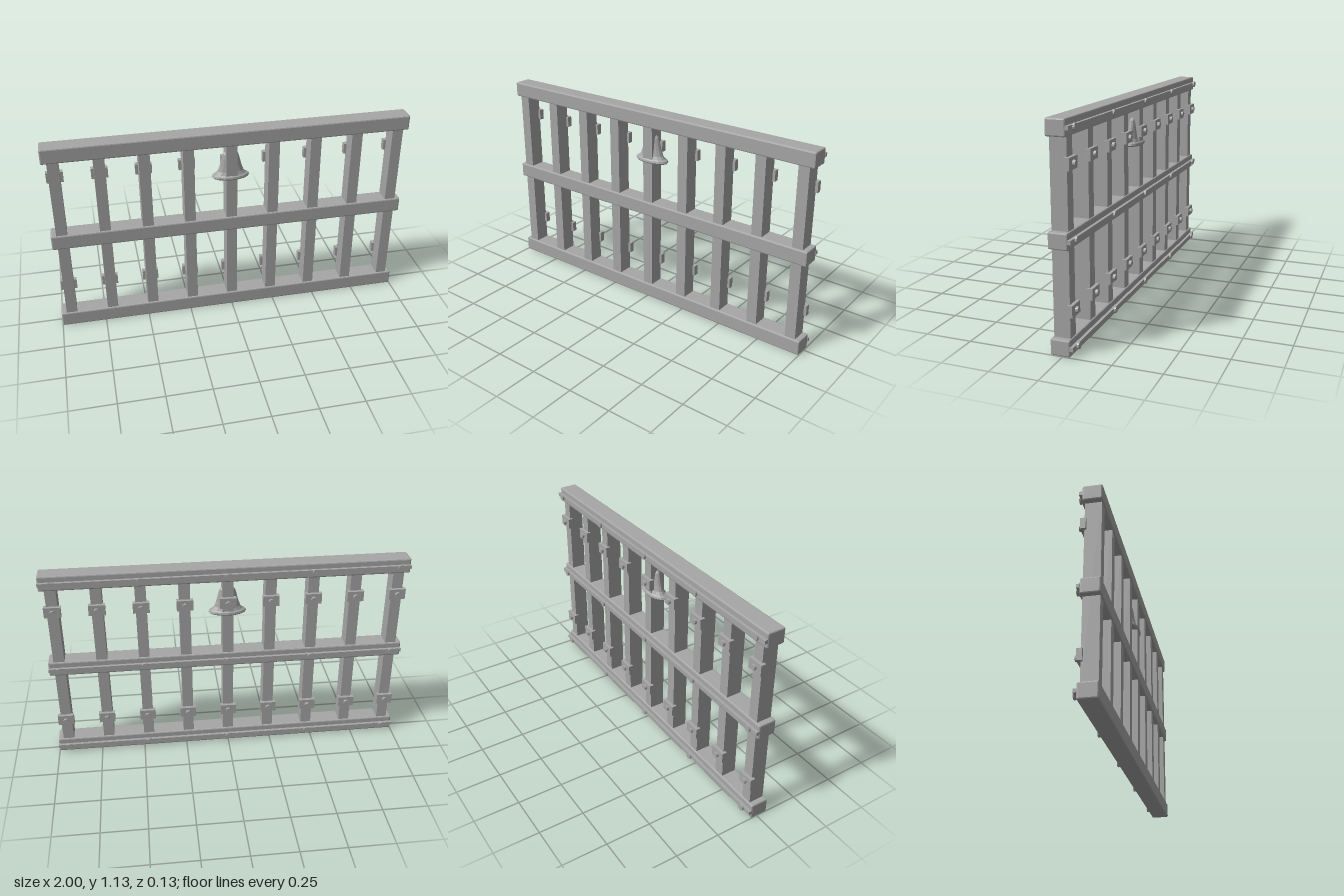
import * as THREE from 'three';
import { RoundedBoxGeometry } from 'three/addons/geometries/RoundedBoxGeometry.js';

export function createModel() {
  const root = new THREE.Group();
  const grey = new THREE.MeshStandardMaterial({ color: 0xa6a6a6 });
  grey.name = 'stone grey';
  grey.flatShading = true;

  const Z = 0.0125; // centre plane of rails and posts

  function add(name, geometry, x, y, z) {
    const mesh = new THREE.Mesh(geometry, grey);
    mesh.name = name;
    mesh.position.set(x, y, z);
    root.add(mesh);
    return mesh;
  }

  // Round heads whose axis runs along z
  const disc = (r, depth) => new THREE.CylinderGeometry(r, r, depth, 12).rotateX(Math.PI / 2);

  // Three horizontal rails, each with a back strip held by five bolts
  const railGeo = new RoundedBoxGeometry(2, 0.084, 0.101, 1, 0.007);
  const stripGeo = new THREE.BoxGeometry(2, 0.02, 0.018);
  const boltGeo = disc(0.0175, 0.012);
  for (const y of [0.043, 0.567, 1.09]) {
    add('rail', railGeo, 0, y, Z);
    add('backStrip', stripGeo, 0, y, -0.045);
    for (let i = -2; i <= 2; i++) add('railBolt', boltGeo, i * 0.47, y, -0.058);
  }

  // Nine posts, each with an upper and a lower clamp on the back
  const postGeo = new THREE.BoxGeometry(0.06, 1.05, 0.085);
  const clampGeo = new THREE.BoxGeometry(0.09, 0.06, 0.028);
  const nutGeo = disc(0.015, 0.016);
  for (let i = -4; i <= 4; i++) {
    const x = i * 0.235;
    add('post', postGeo, x, 0.566, Z);
    for (const y of [0.225, 0.925]) {
      add('clamp', clampGeo, x, y, -0.034);
      add('clampNut', nutGeo, x, y, -0.054);
    }
  }

  // Flattened bell around the middle post
  const profile = [
    [0, 0.847], [0.098, 0.845], [0.105, 0.852], [0.1, 0.862], [0.086, 0.868],
    [0.072, 0.885], [0.061, 0.915], [0.05, 0.96], [0.043, 0.985], [0.03, 1.0], [0, 1.005],
  ].map(([r, y]) => new THREE.Vector2(r, y));
  const bell = add('bell', new THREE.LatheGeometry(profile, 16), 0, 0, Z);
  bell.scale.z = 0.5;

  return root;
}
